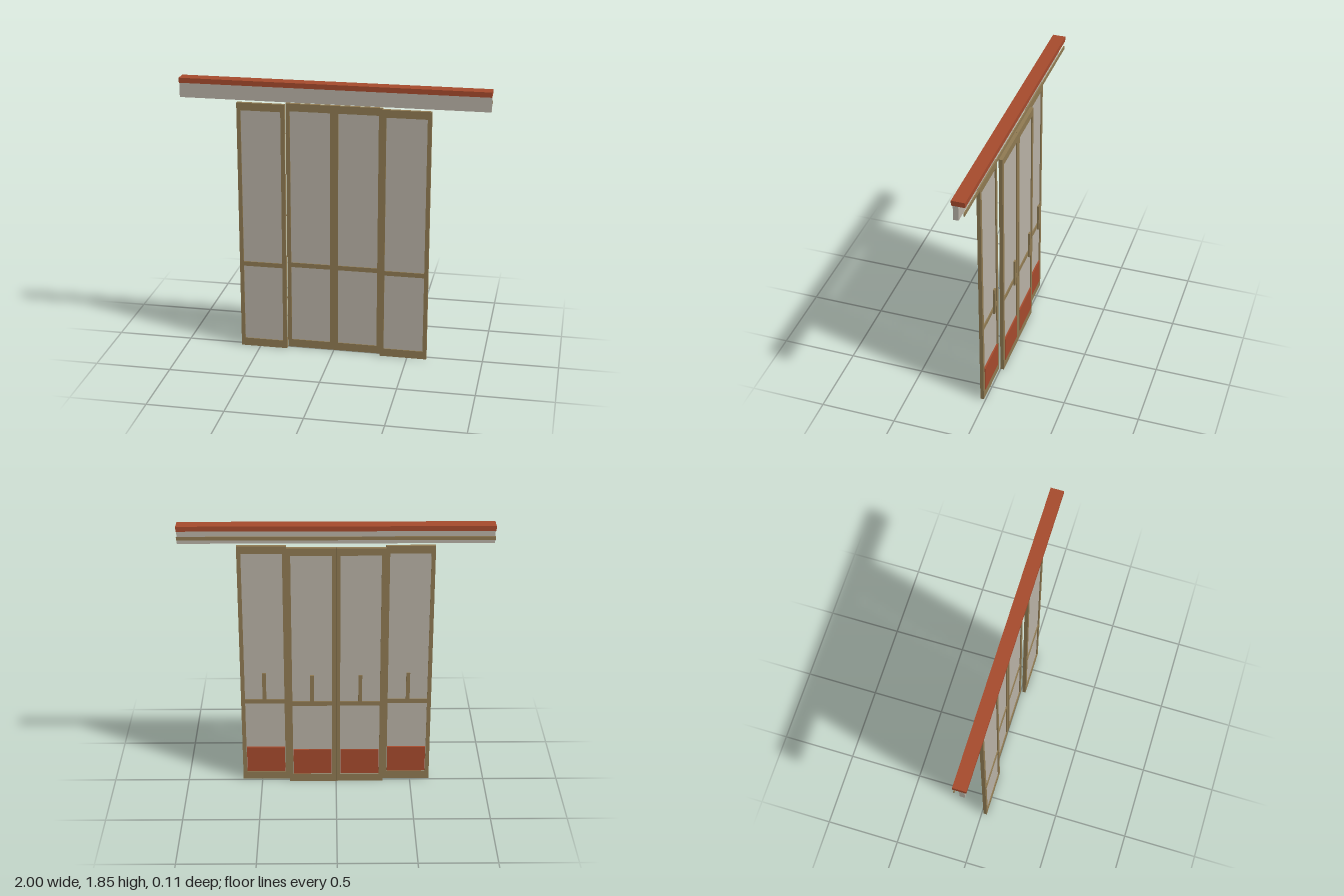
import * as THREE from 'three';

const bronze = new THREE.MeshStandardMaterial({ name: 'bronze', color: 0x8f7a52 });
const pane = new THREE.MeshStandardMaterial({ name: 'paleGrey', color: 0xb9b2a6 });
const rust = new THREE.MeshStandardMaterial({ name: 'rust', color: 0xa64b2d });

// Box given by its extents on each axis
function box(name, material, [x0, x1], [y0, y1], [z0, z1]) {
  const mesh = new THREE.Mesh(new THREE.BoxGeometry(x1 - x0, y1 - y0, z1 - z0), material);
  mesh.position.set((x0 + x1) / 2, (y0 + y1) / 2, (z0 + z1) / 2);
  mesh.name = name;
  return mesh;
}

function rectangle(path, x, y0, y1) {
  path.moveTo(-x, y0);
  path.lineTo(x, y0);
  path.lineTo(x, y1);
  path.lineTo(-x, y1);
  path.closePath();
  return path;
}

const HALF = 0.157, OPENING = 0.131, DEPTH = 0.024;

// One sliding leaf; its back face lies at local z = 0
function createLeaf(name) {
  const leaf = new THREE.Group();
  leaf.name = name;

  // Frame with a lower and an upper opening
  const outline = rectangle(new THREE.Shape(), HALF, 0, 1.7);
  outline.holes.push(
    rectangle(new THREE.Path(), OPENING, 0.054, 0.58),
    rectangle(new THREE.Path(), OPENING, 0.611, 1.65)
  );
  const frame = new THREE.Mesh(
    new THREE.ExtrudeGeometry(outline, { depth: DEPTH, bevelEnabled: false }), bronze);
  frame.name = 'frame';
  leaf.add(frame);

  // Infill panes set back from both faces
  leaf.add(box('lowerPane', pane, [-OPENING, OPENING], [0.054, 0.58], [0.007, 0.017]));
  leaf.add(box('upperPane', pane, [-OPENING, OPENING], [0.611, 1.65], [0.007, 0.017]));

  // Kick plate and pull bar on the back
  leaf.add(box('kickPlate', rust, [-0.128, 0.128], [0.062, 0.246], [-0.003, 0.007]));
  leaf.add(box('pullBar', bronze, [-0.0125, 0.0125], [0.625, 0.82], [-0.034, -0.022]));
  return leaf;
}

export function createModel() {
  const model = new THREE.Group();
  model.name = 'slidingDoor';

  // Outer leaves run on the front track, inner leaves on the back track
  for (const side of [-1, 1]) {
    const label = side < 0 ? 'right' : 'left';
    const outer = createLeaf(label + 'OuterLeaf');
    outer.position.set(side * 0.473, 0, 0.012);
    const inner = createLeaf(label + 'InnerLeaf');
    inner.position.set(side * 0.158, 0, -0.022);
    model.add(outer, inner);
  }

  // Header: cap, fascia and slim rail behind it
  model.add(box('headerCap', rust, [-1, 1], [1.817, 1.85], [-0.029, 0.056]));
  model.add(box('headerFascia', pane, [-1, 1], [1.72, 1.817], [0.012, 0.045]));
  model.add(box('headerRail', bronze, [-1, 1], [1.756, 1.779], [-0.025, -0.018]));
  return model;
}
